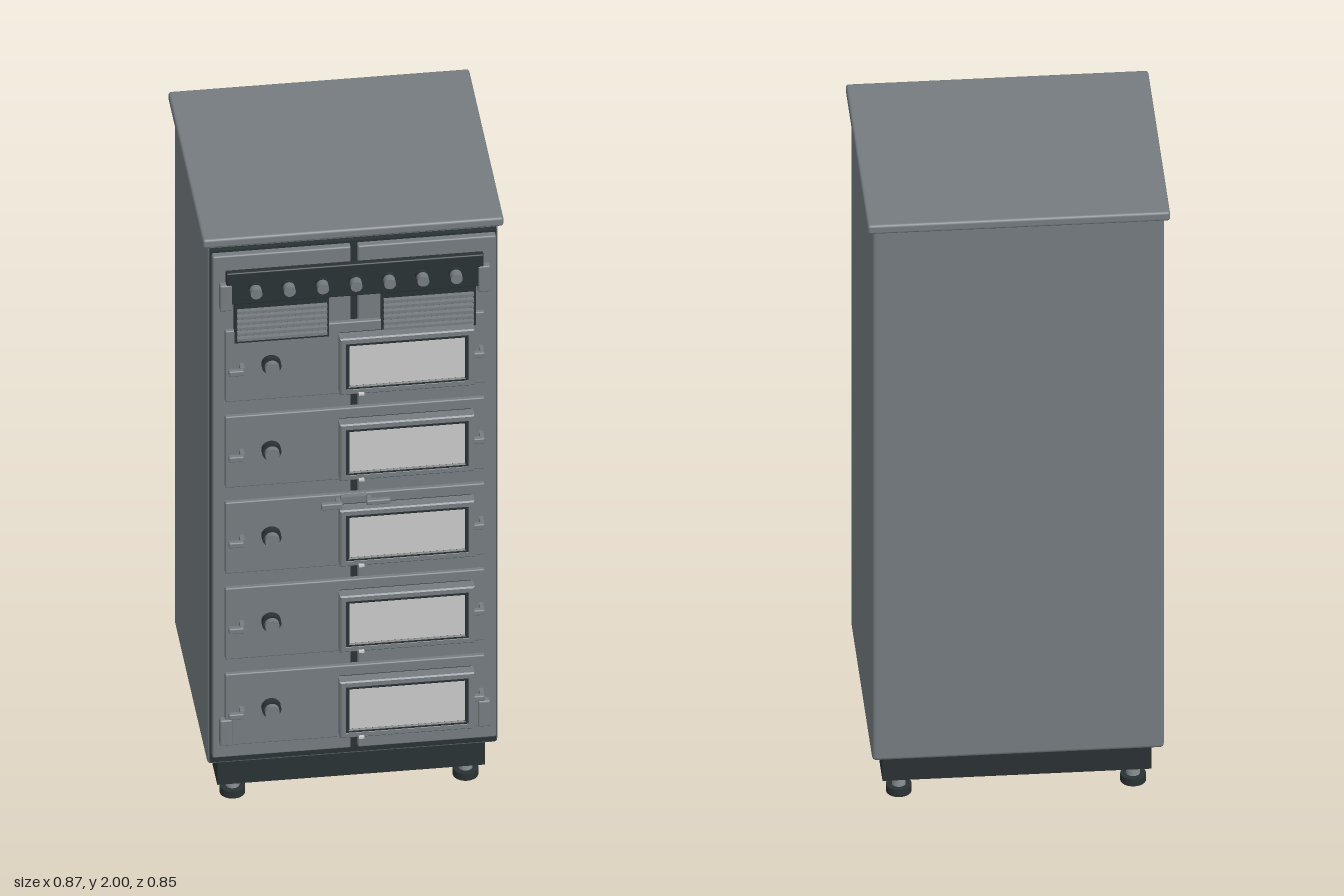
import * as THREE from 'three';
import { RoundedBoxGeometry } from 'three/addons/geometries/RoundedBoxGeometry.js';

const mat = (name, color) => {
  const m = new THREE.MeshStandardMaterial({ color });
  m.name = name;
  return m;
};

export function createModel() {
  const root = new THREE.Group();
  root.name = 'ovenCabinet';
  const grey = mat('grey enamel', 0x757c80);
  const dark = mat('dark trim', 0x2a3233);
  const steel = mat('steel', 0x8b9295);
  const glass = mat('pale glass', 0xcacaca);

  const add = (parent, name, geometry, material) => {
    const m = new THREE.Mesh(geometry, material);
    m.name = name;
    parent.add(m);
    return m;
  };
  // Box given by its limits on each axis, optionally rounded
  const box = (parent, name, material, x0, x1, y0, y1, z0, z1, r = 0) => {
    const s = [x1 - x0, y1 - y0, z1 - z0];
    const g = r ? new RoundedBoxGeometry(...s, 2, r) : new THREE.BoxGeometry(...s);
    const m = add(parent, name, g, material);
    m.position.set((x0 + x1) / 2, (y0 + y1) / 2, (z0 + z1) / 2);
    return m;
  };
  // Cylinder pointing along z (forward)
  const knob = (parent, name, material, x, y, z0, z1, r) => {
    const m = add(parent, name, new THREE.CylinderGeometry(r, r, z1 - z0, 24), material);
    m.rotation.x = Math.PI / 2;
    m.position.set(x, y, (z0 + z1) / 2);
  };

  // Cabinet shell, lid and plinth
  box(root, 'body', grey, -0.42, 0.42, 0.155, 1.975, -0.4, 0.316, 0.012);
  box(root, 'lid', grey, -0.435, 0.435, 1.97, 2, -0.425, 0.331, 0.008);
  box(root, 'plinth', dark, -0.387, 0.387, 0.06, 0.16, -0.357, 0.283);
  box(root, 'doorSeal', dark, -0.414, 0.414, 0.175, 1.962, 0.31, 0.332);

  // Levelling feet
  for (const x of [-0.337, 0.337]) for (const z of [-0.317, 0.235]) {
    const foot = new THREE.Group();
    foot.name = 'foot';
    foot.position.set(x, 0, z);
    root.add(foot);
    add(foot, 'footStem', new THREE.CylinderGeometry(0.02, 0.02, 0.05, 20), steel).position.y = 0.04;
    add(foot, 'footPad', new THREE.CylinderGeometry(0.037, 0.037, 0.024, 24), dark).position.y = 0.012;
  }

  // Pair of front doors with a narrow gap, and their corner hinges
  for (const s of [-1, 1]) {
    const [a, b] = s < 0 ? [-0.41, -0.01] : [0.01, 0.41];
    box(root, 'door', grey, a, b, 0.203, 1.955, 0.328, 0.353, 0.005);
    for (const y of [0.255, 1.775]) {
      box(root, 'hinge', grey, s * 0.373 - 0.018, s * 0.373 + 0.018, y, y + 0.09, 0.348, 0.373, 0.005);
    }
  }

  // Window surround with an opening
  const rect = (path, x, y) => path.moveTo(-x, -y).lineTo(x, -y).lineTo(x, y).lineTo(-x, y).closePath();
  const surround = (x, y, hx, hy, depth) => {
    const shape = rect(new THREE.Shape(), x, y);
    shape.holes.push(rect(new THREE.Path(), hx, hy));
    return new THREE.ExtrudeGeometry(shape, {
      depth, bevelEnabled: true, bevelSize: 0.004, bevelThickness: 0.004, bevelSegments: 1,
    });
  };
  const outerGeo = surround(0.191, 0.094, 0.178, 0.08, 0.03);
  const innerGeo = surround(0.177, 0.08, 0.17, 0.073, 0.034);

  // Five compartments, stacked
  for (let i = 0; i < 5; i++) {
    const unit = new THREE.Group();
    unit.name = 'compartment';
    unit.position.y = 0.378 + i * 0.3;
    root.add(unit);
    box(unit, 'panel', grey, -0.375, 0.375, -0.125, 0.123, 0.348, 0.366, 0.004);
    knob(unit, 'knobRing', dark, -0.243, 0.002, 0.36, 0.385, 0.028);
    knob(unit, 'knobCap', grey, -0.243, 0.002, 0.38, 0.401, 0.021);

    box(unit, 'windowBack', dark, -0.045, 0.335, -0.09, 0.09, 0.364, 0.405);
    add(unit, 'windowFrame', outerGeo, grey).position.set(0.145, 0, 0.38);
    add(unit, 'windowTrim', innerGeo, dark).position.set(0.145, 0, 0.375);
    box(unit, 'windowGlass', glass, -0.026, 0.313, -0.068, 0.075, 0.404, 0.41);
    box(unit, 'windowPin', glass, 0.004, 0.02, -0.096, -0.09, 0.41, 0.424);

    // Latches on both edges
    box(unit, 'latchPost', grey, -0.335, -0.322, -0.006, 0.01, 0.36, 0.395);
    box(unit, 'latch', grey, -0.37, -0.326, -0.007, 0.011, 0.392, 0.41, 0.004);
    box(unit, 'latchPost', grey, 0.358, 0.37, -0.006, 0.01, 0.36, 0.395);
    box(unit, 'latch', grey, 0.335, 0.37, -0.007, 0.011, 0.392, 0.41, 0.004);
  }

  // Control strip with seven knobs
  box(root, 'controlStrip', dark, -0.372, 0.372, 1.795, 1.905, 0.348, 0.371, 0.004);
  for (let i = -3; i <= 3; i++) {
    knob(root, 'controlKnobBase', dark, i * 0.0965, 1.85, 0.368, 0.38, 0.02);
    knob(root, 'controlKnob', grey, i * 0.0965, 1.85, 0.375, 0.405, 0.017);
  }

  // Louvred vents below the control strip
  for (const s of [-1, 1]) {
    const c = s * 0.212;
    box(root, 'ventBack', dark, c - 0.137, c + 0.137, 1.66, 1.797, 0.348, 0.37);
    for (let i = 0; i < 6; i++) {
      const y = 1.675 + i * 0.019;
      box(root, 'ventSlat', grey, c - 0.13, c + 0.13, y, y + 0.009, 0.365, 0.384);
    }
  }

  // Centre latch
  box(root, 'centreLatchPlate', grey, -0.042, 0.032, 1.088, 1.1, 0.36, 0.38);
  box(root, 'centreLatchBar', grey, -0.102, -0.04, 1.074, 1.094, 0.385, 0.403, 0.004);
  box(root, 'centreLatchBar', grey, 0.03, 0.1, 1.076, 1.092, 0.378, 0.396, 0.004);
  for (const x of [-0.05, 0.04]) box(root, 'centreLatchPost', grey, x - 0.006, x + 0.006, 1.077, 1.091, 0.36, 0.39);

  return root;
}
